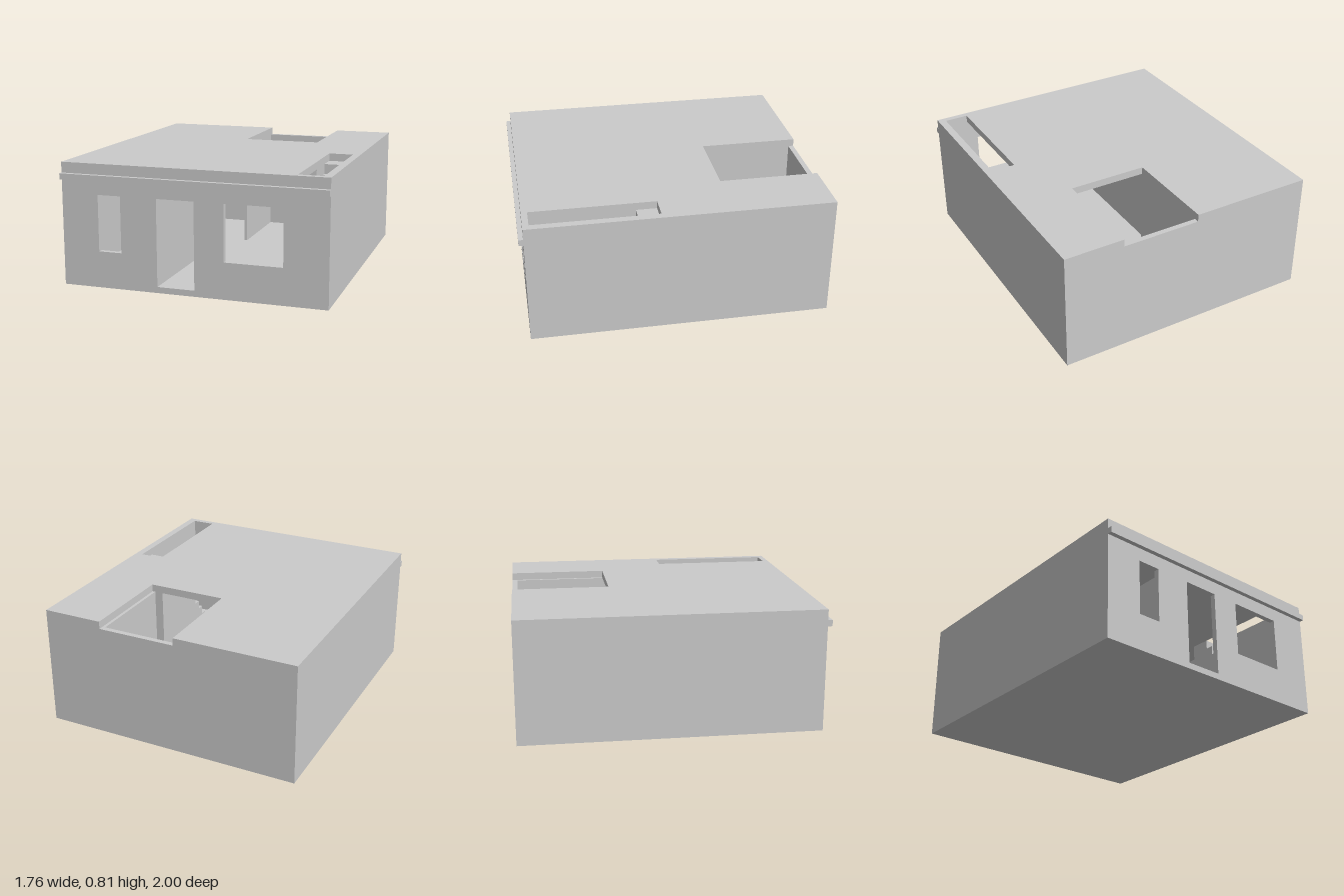
import * as THREE from 'three';

const X = 0.88, BACK = -1, FRONT = 0.97;   // outer walls
const SIDE = 0.05, WALL = 0.035;           // wall thicknesses
const FLOOR = 0.04, CEILING = 0.76, TOP = 0.81;

export function createModel() {
  const group = new THREE.Group();
  const material = new THREE.MeshStandardMaterial({ color: 0xcccccc, flatShading: true });

  const add = (name, geometry) => {
    const mesh = new THREE.Mesh(geometry, material);
    mesh.name = name;
    group.add(mesh);
    return mesh;
  };
  // Box given by its limits on each axis
  const box = (name, x0, x1, y0, y1, z0, z1) => {
    const mesh = add(name, new THREE.BoxGeometry(x1 - x0, y1 - y0, z1 - z0));
    mesh.position.set((x0 + x1) / 2, (y0 + y1) / 2, (z0 + z1) / 2);
    return mesh;
  };
  const polygon = (points, Type = THREE.Shape) => new Type(points.map(([x, y]) => new THREE.Vector2(x, y)));
  const rect = (x0, x1, y0, y1, Type) => polygon([[x0, y0], [x1, y0], [x1, y1], [x0, y1]], Type);

  // Floor and outer walls
  box('floor', -X + SIDE, X - SIDE, 0, FLOOR, BACK + WALL, FRONT - WALL);
  box('backWall', -X, X, 0, CEILING, BACK, BACK + WALL);
  for (const [name, s] of [['leftWall', 1], ['rightWall', -1]]) {
    const x = s * (X - SIDE / 2);
    box(name, x - SIDE / 2, x + SIDE / 2, 0, CEILING, BACK + WALL, FRONT - WALL);
  }

  // Front wall with narrow window, doorway and wide window
  const front = rect(-X, X, 0, CEILING);
  front.holes.push(
    rect(-0.63, -0.475, 0.24, 0.61, THREE.Path),
    rect(-0.23, 0.02, FLOOR, 0.61, THREE.Path),
    rect(0.215, 0.595, 0.24, 0.61, THREE.Path));
  add('frontWall', new THREE.ExtrudeGeometry(front, { depth: WALL, bevelEnabled: false }))
    .position.z = FRONT - WALL;

  // Roof slab, notched over the patio and open over the stairs (shape y is -z)
  const roof = polygon([
    [-X, -FRONT], [X, -FRONT], [X, -BACK], [0.475, -BACK],
    [0.475, 0.34], [-0.055, 0.34], [-0.055, -BACK], [-X, -BACK]]);
  roof.holes.push(rect(0.67, X - SIDE, -0.93, -0.115, THREE.Path));
  const slab = add('roof', new THREE.ExtrudeGeometry(roof, { depth: TOP - CEILING, bevelEnabled: false }));
  slab.rotation.x = -Math.PI / 2;
  slab.position.y = CEILING;

  // Ledge across the facade
  box('frontLedge', -X, X, 0.70, 0.74, FRONT, 1);

  // Inner walls: two beside the patio, one beside the hallway
  box('patioLeftWall', 0.455, 0.475, FLOOR, CEILING, BACK + WALL, -0.34);
  box('patioRightWall', -0.075, -0.055, FLOOR, CEILING, BACK + WALL, -0.34);
  box('hallPartition', -0.25, -0.23, FLOOR, CEILING, -0.34, FRONT - WALL);

  // Stairs descending from a landing towards the front
  const steps = 11, tread = 0.0535, rise = (CEILING - FLOOR) / steps;
  box('stairLanding', 0.67, X - SIDE, FLOOR, CEILING, 0.115, 0.25);
  for (let i = 1; i < steps; i++) {
    const z = 0.25 + (i - 1) * tread;
    box('stairStep', 0.67, X - SIDE, FLOOR, CEILING - i * rise, z, z + tread);
  }
  return group;
}
